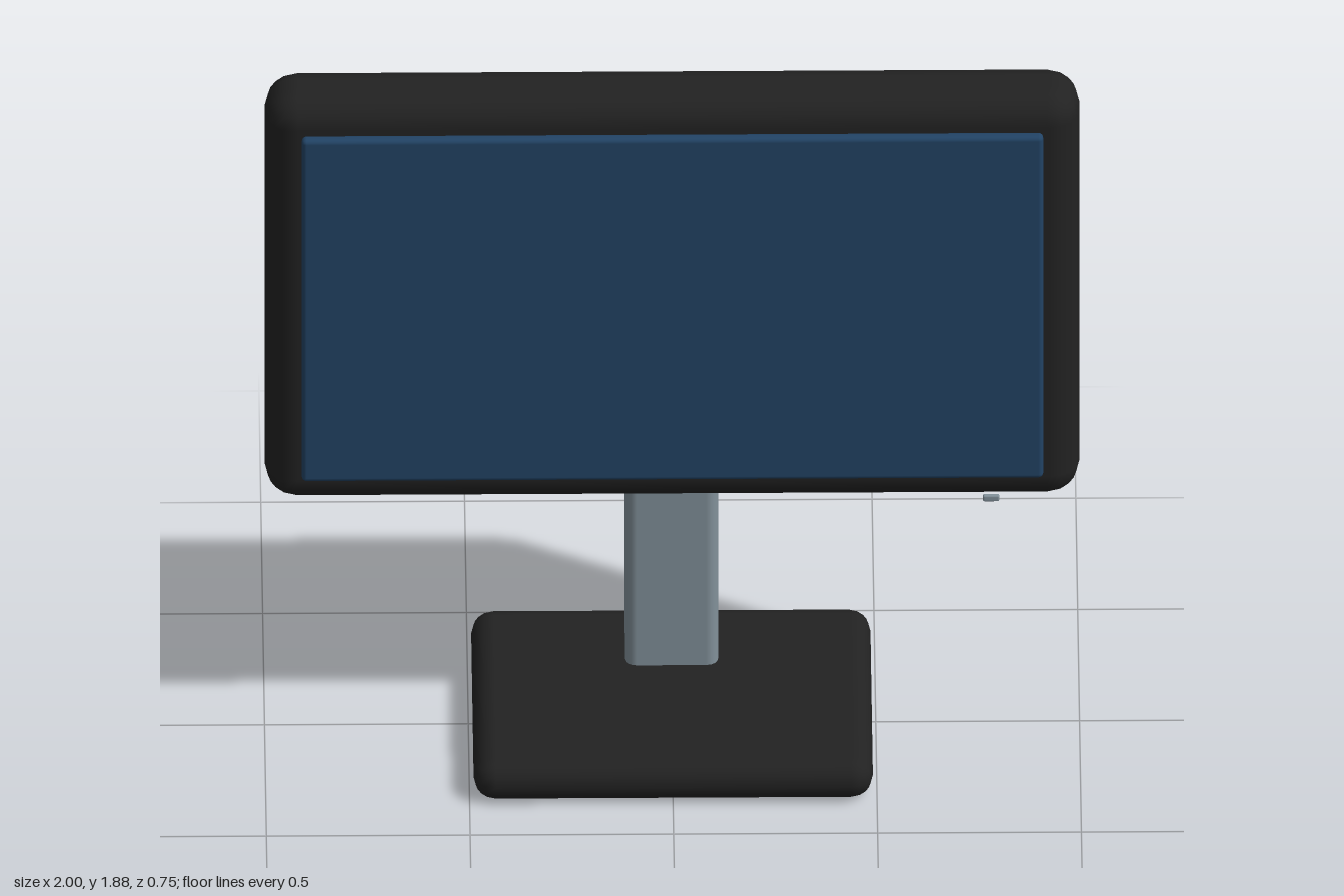
import * as THREE from 'three';
import { RoundedBoxGeometry } from 'three/addons/geometries/RoundedBoxGeometry.js';

function material(name, color) {
  const m = new THREE.MeshStandardMaterial({ color });
  m.name = name;
  return m;
}

export function createModel() {
  const black = material('black plastic', 0x222222);
  const blue = material('screen blue', 0x224466);
  const grey = material('grey metal', 0x82919a);
  const group = new THREE.Group();
  group.name = 'monitor';

  // Rounded block given by its [min, max] extent on each axis
  function block(name, mat, x, y, z, radius) {
    const size = [x, y, z].map(([a, b]) => b - a);
    const mesh = new THREE.Mesh(new RoundedBoxGeometry(...size, 2, radius), mat);
    mesh.position.set(...[x, y, z].map(([a, b]) => (a + b) / 2));
    mesh.name = name;
    group.add(mesh);
  }

  // Stand
  block('base', black, [-0.49, 0.49], [0, 0.11], [-0.375, 0.375], 0.054);
  block('column', grey, [-0.115, 0.115], [0.05, 1.02], [-0.34, -0.09], 0.03);

  // Display
  block('housing', black, [-1, 1], [0.7, 1.88], [-0.1, 0.1], 0.08);
  block('screen', blue, [-0.91, 0.91], [0.79, 1.79], [0.095, 0.126], 0.012);

  // Rear vent bar and the small power light below the screen
  block('rearBar', grey, [-0.45, 0.45], [1.383, 1.415], [-0.14, -0.09], 0.008);
  block('powerLight', grey, [0.762, 0.802], [0.727, 0.744], [0.117, 0.13], 0.004);

  return group;
}
